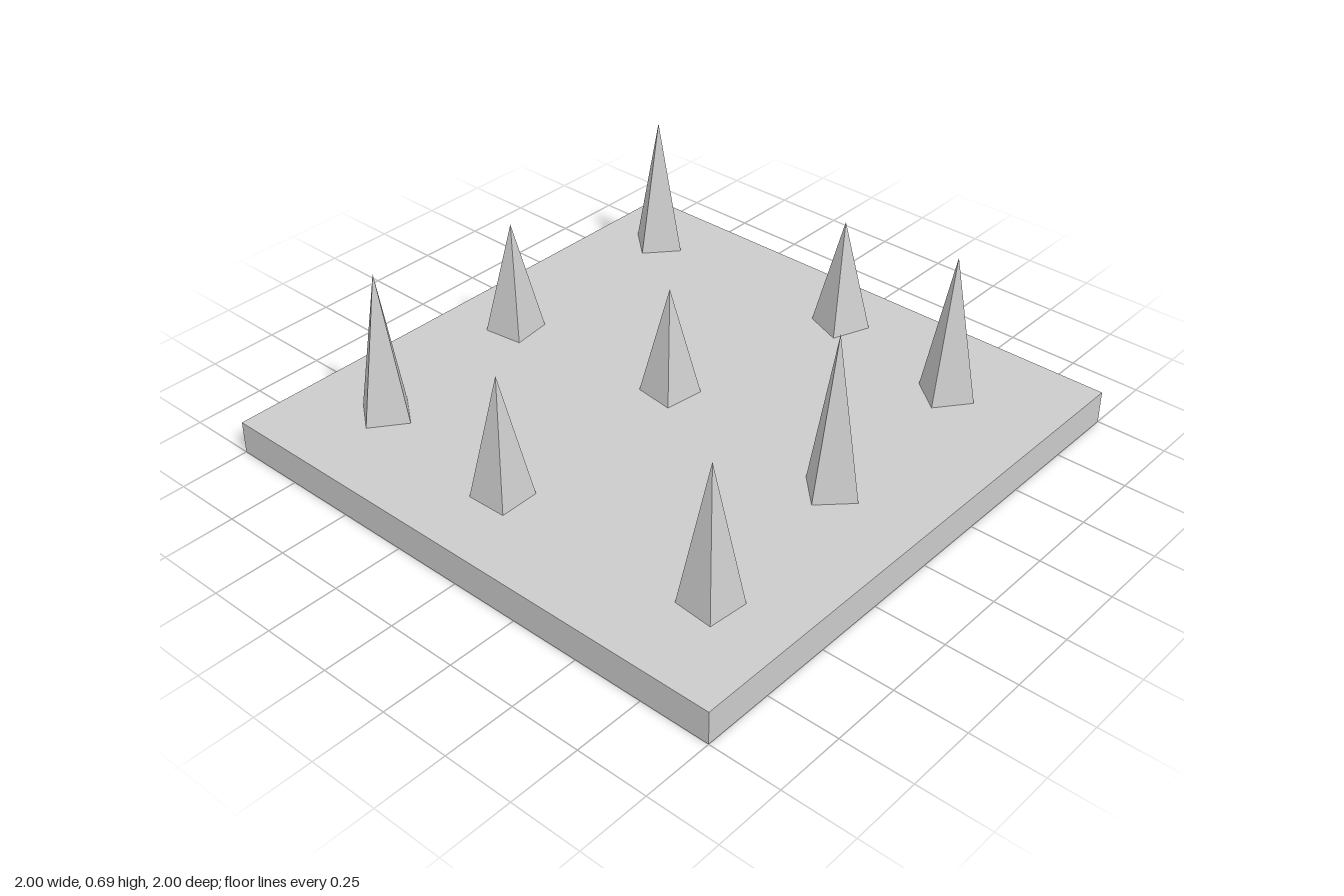
import * as THREE from 'three';

const TOP = 0.118; // height of the base tray

// x, z, tip height, turn in degrees
const SPIKES = [
  [-0.765, -0.763, 0.613, 4],
  [0.088, -0.765, 0.525, 24],
  [0.615, -0.653, 0.64, 7],
  [-0.745, 0.008, 0.53, -38],
  [-0.082, -0.058, 0.513, 38],
  [0.652, 0.014, 0.69, 0],
  [-0.688, 0.653, 0.648, 8],
  [-0.09, 0.706, 0.56, 46],
  [0.716, 0.663, 0.62, 40],
];

export function createModel() {
  const model = new THREE.Group();
  const material = new THREE.MeshStandardMaterial({
    color: 0xcccccc, flatShading: true, side: THREE.DoubleSide,
  });

  // Thin-shelled base, open underneath
  const base = new THREE.Group();
  base.name = 'base';
  const topPlate = new THREE.Mesh(new THREE.PlaneGeometry(2, 2).rotateX(-Math.PI / 2), material);
  topPlate.name = 'topPlate';
  topPlate.position.y = TOP;
  base.add(topPlate);
  for (let i = 0; i < 4; i++) {
    const wall = new THREE.Mesh(new THREE.PlaneGeometry(2, TOP).translate(0, TOP / 2, 1), material);
    wall.name = 'sideWall';
    wall.rotation.y = i * Math.PI / 2;
    base.add(wall);
  }
  model.add(base);

  // Four-sided spikes, each turned a little differently
  for (const [x, z, tip, turn] of SPIKES) {
    const height = tip - TOP;
    const spike = new THREE.Mesh(new THREE.ConeGeometry(0.102, height, 4, 1, true), material);
    spike.name = 'spike';
    spike.position.set(x, TOP + height / 2, z);
    spike.rotation.y = THREE.MathUtils.degToRad(turn);
    model.add(spike);
  }
  return model;
}
